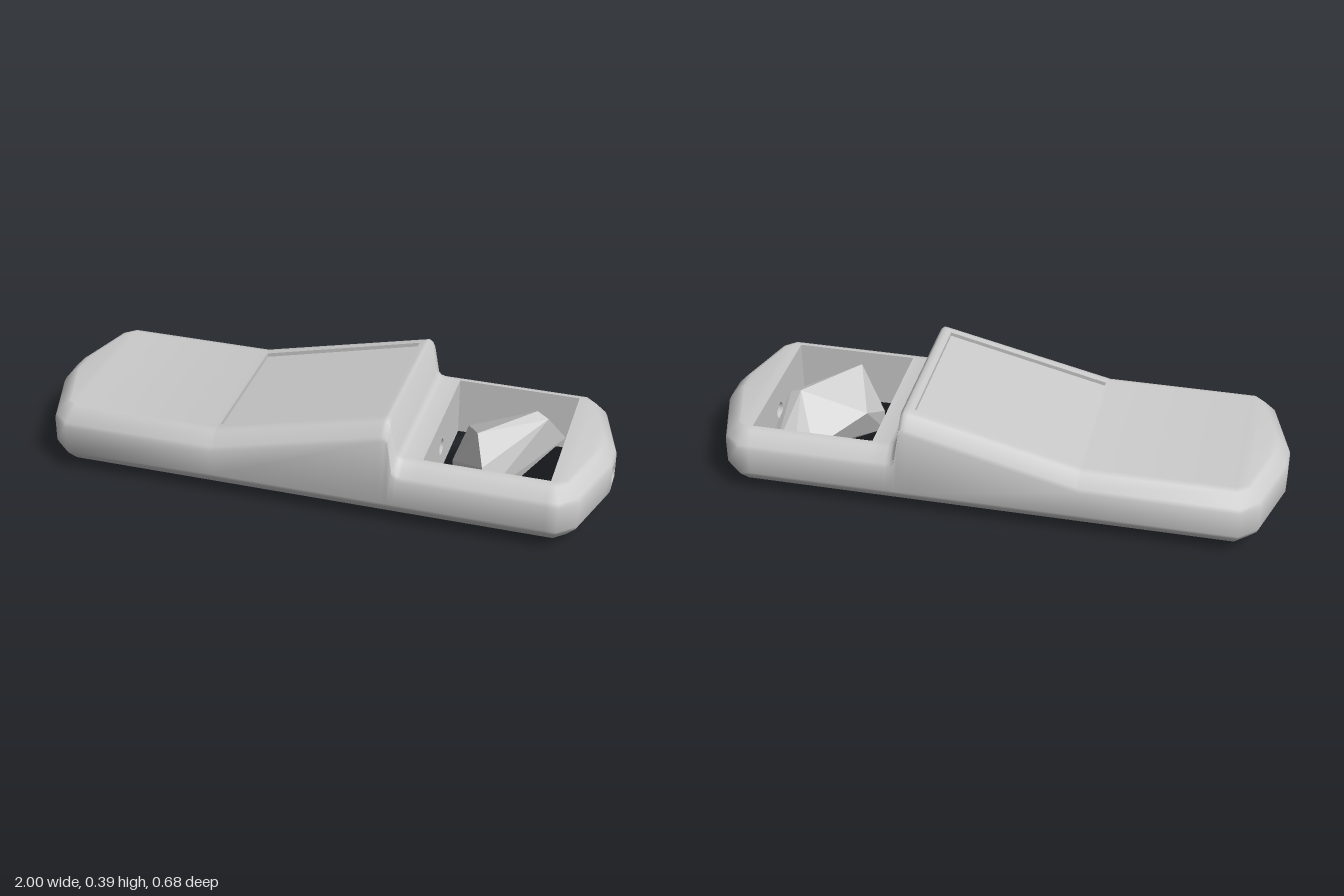
import * as THREE from 'three';
import { toCreasedNormals } from 'three/addons/utils/BufferGeometryUtils.js';
import { ConvexGeometry } from 'three/addons/geometries/ConvexGeometry.js';

const BOTTOM = 0.03, TOP = 0.243, BORE_Y = 0.128, BORE_R = 0.03;
const WINDOW = { x0: 0.4, x1: 0.83, z: 0.272 };
const SCREEN = { x0: -0.32, x1: 0.25, z: 0.255, depth: 0.014 };

// side profile of the raised screen wedge: [x, top height]
const WEDGE = [[-0.33, TOP], [0.265, 0.386], [0.28, 0.389], [0.292, 0.38],
  [0.31, 0.265], [0.325, 0.248], [0.34, TOP]];

function topAt(x) {
  for (let i = 1; i < WEDGE.length; i++) {
    const [xa, ya] = WEDGE[i - 1], [xb, yb] = WEDGE[i];
    if (x >= xa && x <= xb) return ya + (yb - ya) * (x - xa) / (xb - xa);
  }
  return TOP;
}

// front half of the plan outline, left to right: [x, z]
const sideX = [SCREEN.x0, SCREEN.x1, WINDOW.x0, WINDOW.x1, ...WEDGE.map(p => p[0])].sort((a, b) => a - b);
const nose = [[1, 0.05], [0.985, 0.1], [0.93, 0.285], [0.87, 0.34]];
const HALF = [...nose.map(([x, z]) => [-x, z]), ...sideX.map(x => [x, 0.34]), ...[...nose].reverse()];

// outline point i moved inwards by d, with mitred corners
function inset(i, d) {
  const n = HALF.length, p = HALF[i];
  const a = i > 0 ? HALF[i - 1] : [p[0], -p[1]];
  const b = i < n - 1 ? HALF[i + 1] : [p[0], -p[1]];
  const normal = (s, e) => new THREE.Vector2(s[1] - e[1], e[0] - s[0]).normalize();
  const n1 = normal(a, p), n2 = normal(p, b);
  const k = d / (1 + n1.dot(n2));
  return [p[0] - (n1.x + n2.x) * k, p[1] - (n1.y + n2.y) * k];
}

// collects quads given counter-clockwise
function quadBuilder() {
  const pos = [];
  const tri = (a, b, c) => {
    const t = new THREE.Triangle(...[a, b, c].map(v => new THREE.Vector3(...v)));
    if (t.getArea() > 1e-8) pos.push(...a, ...b, ...c);
  };
  return {
    quad(a, b, c, d) { tri(a, b, c); tri(a, c, d); },
    geometry() {
      const g = new THREE.BufferGeometry();
      g.setAttribute('position', new THREE.Float32BufferAttribute(pos, 3));
      return toCreasedNormals(g, 0.9);
    },
  };
}

function bodyGeometry() {
  const q = quadBuilder(), n = HALF.length;
  const bevel = [[0.058, 0], [0.044, 0.005], [0.007, 0.045], [0, 0.06]];
  const ring = (d, dy, upper) => {
    const front = HALF.map(([x], i) => {
      const t = topAt(x);
      const [px, pz] = inset(i, d + (upper ? 0.05 * (t - TOP) : 0));
      return [px, upper ? t - dy : BOTTOM + dy, pz];
    });
    return [...front, ...front.map(([x, y, z]) => [x, y, -z]).reverse()];
  };
  const rings = [...bevel.map(b => ring(...b, false)), ...[...bevel].reverse().map(b => ring(...b, true))];

  // rounded rim
  for (let r = 0; r < rings.length - 1; r++) {
    for (let i = 0; i < 2 * n; i++) {
      if (r === 3 && i === n - 1) continue; // flat nose is filled by a drilled plate
      const j = (i + 1) % (2 * n);
      q.quad(rings[r][i], rings[r][j], rings[r + 1][j], rings[r + 1][i]);
    }
  }

  // top and bottom, leaving out the window and the screen
  const cols = [-1, -WINDOW.z, -SCREEN.z, SCREEN.z, WINDOW.z, 1];
  const within = (x, o) => x > o.x0 && x < o.x1;
  for (const upper of [false, true]) {
    const edge = rings[upper ? rings.length - 1 : 0];
    const at = (i, c) => [edge[i][0], edge[i][1], THREE.MathUtils.clamp(c, -edge[i][2], edge[i][2])];
    for (let i = 0; i < n - 1; i++) {
      const mid = (edge[i][0] + edge[i + 1][0]) / 2;
      for (let c = 0; c < cols.length - 1; c++) {
        if (within(mid, WINDOW) && c > 0 && c < 4) continue;
        if (upper && within(mid, SCREEN) && c === 2) continue;
        const f = [at(i, cols[c + 1]), at(i + 1, cols[c + 1]), at(i + 1, cols[c]), at(i, cols[c])];
        q.quad(...(upper ? f : f.reverse()));
      }
    }
  }

  // long walls of the window
  const { x0, x1, z } = WINDOW;
  q.quad([x0, BOTTOM, -z], [x1, BOTTOM, -z], [x1, TOP, -z], [x0, TOP, -z]);
  q.quad([x1, BOTTOM, z], [x0, BOTTOM, z], [x0, TOP, z], [x1, TOP, z]);
  return q.geometry();
}

// sunken screen: floor and four low walls
function screenGeometry() {
  const q = quadBuilder(), { x0, x1, z, depth } = SCREEN;
  const rim = [[x0, z], [x1, z], [x1, -z], [x0, -z]].map(([x, pz]) => [x, topAt(x), pz]);
  const floor = rim.map(([x, y, pz]) => [x, y - depth, pz]);
  q.quad(...floor);
  for (let i = 0; i < 4; i++) {
    const j = (i + 1) % 4;
    q.quad(floor[j], floor[i], rim[i], rim[j]);
  }
  return q.geometry();
}

// upright plate facing along x, drilled for the cord
function drilledPlate(x, halfZ, y0, y1, dir) {
  const s = new THREE.Shape([[-halfZ, y0], [halfZ, y0], [halfZ, y1], [-halfZ, y1]]
    .map(p => new THREE.Vector2(...p)));
  s.holes.push(new THREE.Path().absarc(0, BORE_Y, BORE_R, 0, Math.PI * 2, true));
  return new THREE.ShapeGeometry(s, 16).rotateY(dir * Math.PI / 2).translate(x, 0, 0);
}

function boreGeometry(xa, xb) {
  return new THREE.CylinderGeometry(BORE_R, BORE_R, xb - xa, 32, 1, true)
    .rotateZ(Math.PI / 2).translate((xa + xb) / 2, BORE_Y, 0);
}

// loose faceted stone in the window
function stoneGeometry() {
  const corners = [
    [0.55, 0.287, 0.125], [0.715, 0.283, -0.08], [0.757, 0.265, -0.068],
    [0.714, 0.205, -0.155], [0.457, 0.13, 0.075], [0.484, 0.2, -0.053],
    [0.634, 0.14, -0.22], [0.698, 0.12, -0.246], [0.773, 0.12, -0.235],
    [0.805, 0.13, -0.18], [0.607, 0.1, 0.208], [0.585, 0.2, 0.198],
    [0.505, 0, 0.14], [0.465, 0.04, 0.09], [0.607, 0.035, 0.17], [0.7, 0.04, -0.12],
  ];
  return new ConvexGeometry(corners.map(c => new THREE.Vector3(...c)));
}

export function createModel() {
  const group = new THREE.Group();
  const grey = new THREE.MeshStandardMaterial({ color: 0xcccccc });
  const open = new THREE.MeshStandardMaterial({ color: 0xcccccc, side: THREE.DoubleSide });
  const flat = new THREE.MeshStandardMaterial({ color: 0xcccccc, flatShading: true });
  const add = (name, geometry, material = grey) => {
    const mesh = new THREE.Mesh(geometry, material);
    mesh.name = name;
    group.add(mesh);
  };

  add('body', bodyGeometry());
  add('screen', screenGeometry());
  add('nosePlate', drilledPlate(1, 0.05, BOTTOM + 0.06, TOP - 0.06, 1));
  add('windowInnerWall', drilledPlate(WINDOW.x0, WINDOW.z, BOTTOM, TOP, 1));
  add('windowOuterWall', drilledPlate(WINDOW.x1, WINDOW.z, BOTTOM, TOP, -1));
  add('noseBore', boreGeometry(WINDOW.x1, 1), open);
  add('socketBore', boreGeometry(0.32, WINDOW.x0), open);
  add('socketEnd', new THREE.CircleGeometry(BORE_R, 32).rotateY(Math.PI / 2).translate(0.32, BORE_Y, 0));
  add('stone', stoneGeometry(), flat);
  return group;
}
